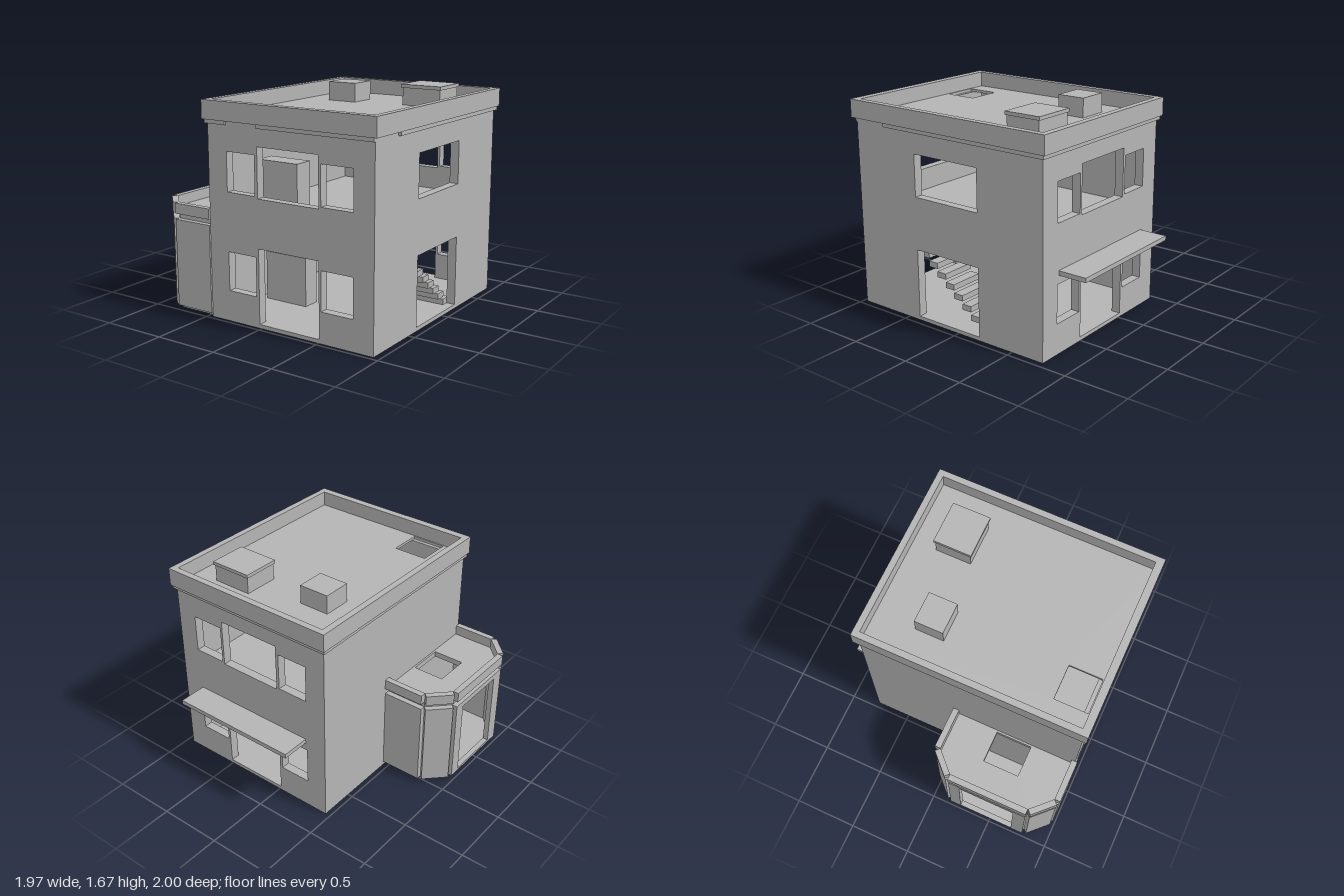
import * as THREE from 'three';

const stone = new THREE.MeshStandardMaterial({ color: 0xb4b4b4 });
stone.name = 'grey stone';

export function createModel() {
  const root = new THREE.Group();
  root.name = 'building';

  function add(name, geometry, parent = root) {
    const mesh = new THREE.Mesh(geometry, stone);
    mesh.name = name;
    parent.add(mesh);
    return mesh;
  }

  // Box given by its limits on each axis
  function box(name, x0, x1, y0, y1, z0, z1) {
    const mesh = add(name, new THREE.BoxGeometry(x1 - x0, y1 - y0, z1 - z0));
    mesh.position.set((x0 + x1) / 2, (y0 + y1) / 2, (z0 + z1) / 2);
    return mesh;
  }

  const rect = ([a, b, c, d], Type = THREE.Path) =>
    new Type([[a, c], [b, c], [b, d], [a, d]].map(p => new THREE.Vector2(...p)));

  // Plate with rectangular openings, in limits [u0, u1, v0, v1]
  function plate(outline, holes, depth) {
    const shape = Array.isArray(outline) ? rect(outline, THREE.Shape) : outline;
    holes.forEach(h => shape.holes.push(rect(h)));
    return new THREE.ExtrudeGeometry(shape, { depth, bevelEnabled: false });
  }

  // Horizontal slab; limits are [x0, x1, z0, z1]
  function slab(name, outline, holes, y, height) {
    const flip = ([a, b, c, d]) => [a, b, -d, -c];
    const shape = Array.isArray(outline) ? flip(outline) : outline;
    const mesh = add(name, plate(shape, holes.map(flip), height).rotateX(-Math.PI / 2));
    mesh.position.y = y;
    return mesh;
  }

  // Front and back walls share the same openings
  const openings = [
    [-0.29, -0.04, 0.235, 0.53], [-0.015, 0.505, 0.03, 0.595], [0.525, 0.785, 0.235, 0.53],
    [-0.29, -0.04, 0.975, 1.27], [-0.015, 0.505, 0.96, 1.33], [0.525, 0.785, 0.975, 1.27],
  ];
  for (const [name, z] of [['frontWall', 0.9], ['backWall', -0.775]]) {
    add(name, plate([-0.46, 0.95, 0, 1.49], openings, 0.07)).position.z = z;
  }

  // Side walls
  const side = plate([-0.9, 0.705, 0, 1.49],
    [[-0.39, 0.2, 0.03, 0.565], [-0.39, 0.2, 0.975, 1.3]], 0.07).rotateY(Math.PI / 2);
  add('sideWallWithWindows', side).position.x = 0.88;
  box('plainSideWall', -0.46, -0.39, 0, 1.49, -0.705, 0.9);

  // Floors, the upper one open above the stairs
  box('groundFloor', -0.39, 0.88, 0, 0.03, -0.705, 0.9);
  slab('upperFloor', [-0.39, 0.88, -0.705, 0.9], [[0.59, 0.87, -0.02, 0.72]], 0.75, 0.035);

  // Roof with hatch, and parapet around it
  slab('roof', [-0.44, 0.93, -0.76, 0.94], [[-0.29, -0.015, 0.67, 0.93]], 1.49, 0.022);
  slab('parapet', [-0.49, 0.98, -0.81, 1], [[-0.44, 0.93, -0.76, 0.94]], 1.49, 0.14);

  // Moulding strips beneath the parapet
  box('moulding', -0.48, -0.29, 1.46, 1.49, 0.97, 0.985);
  box('moulding', -0.015, 0.95, 1.46, 1.49, 0.97, 0.985);
  box('moulding', 0.95, 0.97, 1.46, 1.49, -0.775, 0.68);
  box('moulding', -0.48, -0.46, 1.46, 1.49, -0.775, 0.97);
  box('moulding', -0.48, 0.97, 1.46, 1.49, -0.795, -0.775);

  // Roof units
  box('smallRoofUnit', -0.22, 0.025, 1.51, 1.66, -0.44, -0.215);
  box('largeRoofUnit', 0.41, 0.73, 1.51, 1.65, -0.575, -0.295);
  box('roofUnitLid', 0.4, 0.74, 1.645, 1.672, -0.585, -0.285);

  // Canopy over the back door
  box('canopy', -0.28, 0.77, 0.595, 0.63, -1, -0.775);

  // Floating stair treads
  for (let i = 0; i < 11; i++) {
    const z = -0.226 + i * 0.081;
    const y = 0.03 + i * 0.0655;
    box('stairTread', 0.6, 0.88, y, y + 0.045, z, z + 0.083);
  }

  // Counters on both floors
  box('lowerCounter', -0.33, 0.04, 0.03, 0.41, 0.34, 0.48);
  box('upperCounter', -0.33, 0.028, 0.785, 1.145, 0.4, 0.56);

  // Side bay: base, roof with hatch, wall panels and low parapet
  const bayPoints = [[-0.46, 0], [-0.79, 0], [-0.94, 0.15], [-0.94, 0.79], [-0.79, 0.94], [-0.46, 0.94]];
  const bayShape = () => new THREE.Shape(bayPoints.map(([x, z]) => new THREE.Vector2(x, -z)));
  slab('bayBase', bayShape(), [], 0, 0.03);
  slab('bayRoof', bayShape(), [[-0.725, -0.475, 0.33, 0.615]], 0.705, 0.045);

  for (let i = 0; i < 5; i++) {
    const [ax, az] = bayPoints[i];
    const [bx, bz] = bayPoints[i + 1];
    const half = Math.hypot(bx - ax, bz - az) / 2;
    const edge = new THREE.Group();
    edge.name = 'baySide';
    edge.position.set((ax + bx) / 2, 0, (az + bz) / 2);
    edge.rotation.y = Math.atan2(-(bz - az), bx - ax);
    root.add(edge);
    // Local +z points outward from the bay
    const doorway = i === 2 ? [[-0.23, 0.22, 0.05, 0.66]] : [];
    add('bayWall', plate([-half, half, 0.03, 0.705], doorway, 0.043), edge);
    add('bayParapet', plate([-half, half, 0.75, 0.83], [], 0.047), edge);
  }

  // Outward direction check: flip sides whose local +z faces the bay centre
  root.children.filter(c => c.name === 'baySide').forEach(edge => {
    const out = new THREE.Vector3(0, 0, 1).applyEuler(edge.rotation);
    const away = edge.position.clone().sub(new THREE.Vector3(-0.6, 0, 0.47));
    if (out.dot(away) < 0) edge.rotation.y += Math.PI;
  });

  return root;
}
